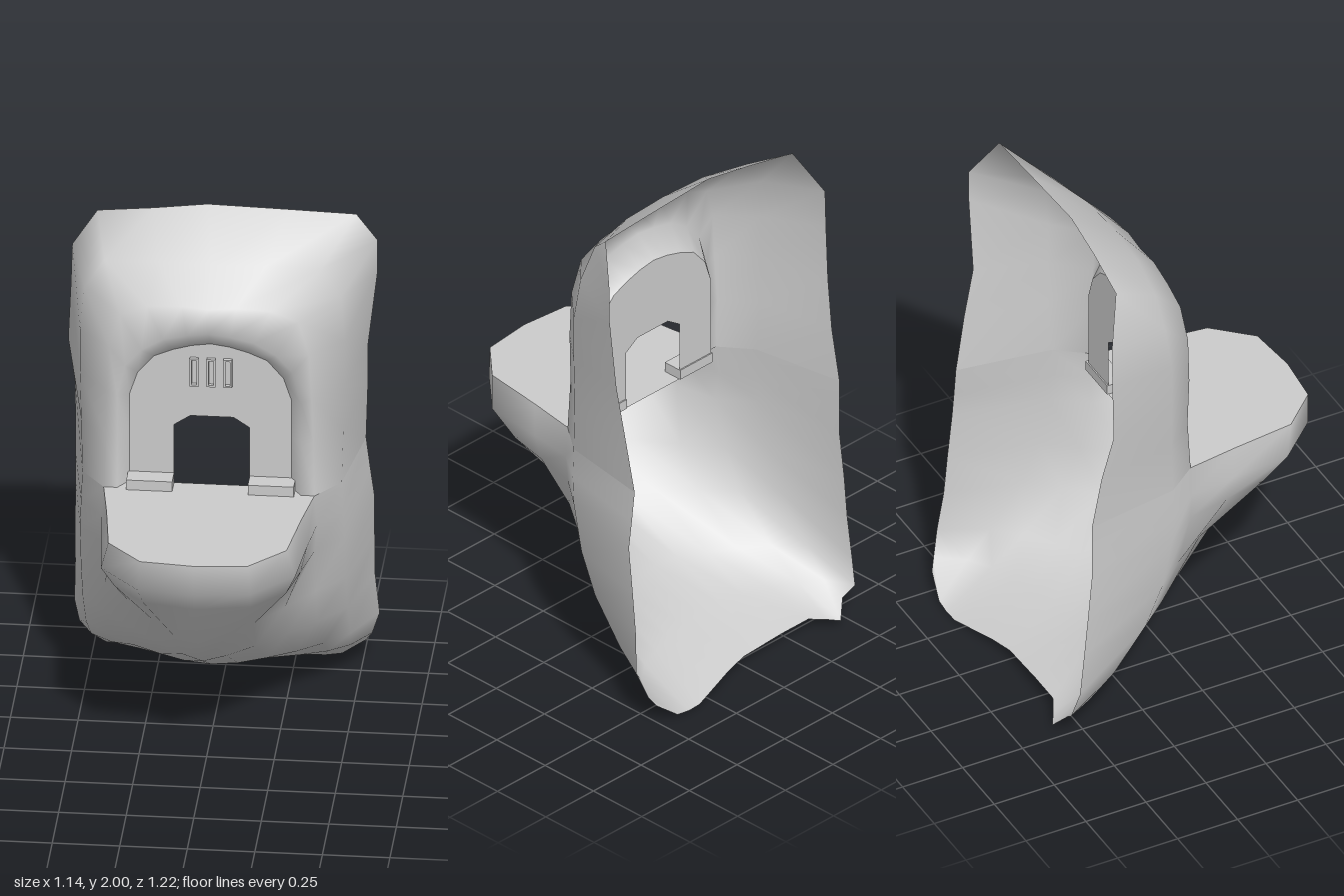
import * as THREE from 'three';

const SHIFT = -0.015; // the ledge and doorway sit slightly to the right
const FLOOR = 0.97;
const PANEL_Z = -0.06;

const material = new THREE.MeshStandardMaterial({ color: 0xcccccc, side: THREE.DoubleSide });

function add(group, name, geometry, x = 0, y = 0, z = 0) {
  const mesh = new THREE.Mesh(geometry, material);
  mesh.name = name;
  mesh.position.set(x, y, z);
  group.add(mesh);
  return mesh;
}

// Smooth skin through rows of points, each running from right to left of the model
function loft(rows) {
  const n = rows[0].length;
  const index = [];
  for (let r = 0; r < rows.length - 1; r++) {
    for (let c = 0; c < n - 1; c++) {
      const a = r * n + c, b = a + 1, d = a + n, e = d + 1;
      index.push(a, d, b, b, d, e);
    }
  }
  const geometry = new THREE.BufferGeometry();
  geometry.setAttribute('position', new THREE.Float32BufferAttribute(rows.flat(2), 3));
  geometry.setIndex(index);
  geometry.computeVertexNormals();
  return geometry;
}

// Mirror a half row whose last point lies on the centre line
function mirrored(half) {
  const right = half.map(([x, y, z]) => [SHIFT - x, y, z]);
  const left = half.slice(0, -1).reverse().map(([x, y, z]) => [SHIFT + x, y, z]);
  return [...right, ...left];
}

// Horizontal sections of the prow: y, right edge x, left edge x, edge z, then half outline [x, z]
const sections = [
  [0.97, -0.555, 0.52, -0.49, [[0.48, -0.12], [0.39, 0], [0.36, 0.2], [0.33, 0.45], [0.2, 0.59], [0, 0.61]]],
  [0.85, -0.555, 0.535, -0.49, [[0.485, -0.12], [0.4, 0], [0.38, 0.18], [0.36, 0.42], [0.21, 0.585], [0, 0.61]]],
  [0.74, -0.555, 0.55, -0.49, [[0.49, -0.13], [0.39, 0], [0.355, 0.17], [0.32, 0.34], [0.2, 0.47], [0, 0.51]]],
  [0.55, -0.56, 0.55, -0.51, [[0.49, -0.17], [0.39, -0.05], [0.29, 0.09], [0.19, 0.23], [0.1, 0.35], [0, 0.41]]],
  [0.39, -0.56, 0.55, -0.525, [[0.49, -0.24], [0.39, -0.12], [0.29, -0.01], [0.18, 0.1], [0.08, 0.19], [0, 0.24]]],
  [0.22, -0.565, 0.565, -0.545, [[0.49, -0.37], [0.4, -0.28], [0.3, -0.2], [0.2, -0.14], [0.1, -0.09], [0, -0.07]]],
  [0.12, -0.55, 0.535, -0.575, [[0.48, -0.47], [0.4, -0.41], [0.3, -0.37], [0.2, -0.34], [0.1, -0.32], [0, -0.31]]],
];

// Bottom edge of the shell
const bottomEdge = [
  [-0.5, 0.08, -0.56], [-0.45, 0.02, -0.6], [-0.4, 0.035, -0.57], [-0.34, 0.05, -0.54], [-0.2, 0.05, -0.54],
  [-0.1, 0.045, -0.54], [0, 0.04, -0.54], [0.1, 0.03, -0.56], [0.2, 0.015, -0.585], [0.3, 0, -0.61],
  [0.36, 0, -0.613], [0.42, 0.01, -0.613], [0.51, 0.08, -0.595],
];

// Free edge of the upper shell, up one side, over the top and down the other
const upperEdge = [
  [-0.555, 0.97, -0.49], [-0.555, 1.18, -0.45], [-0.575, 1.37, -0.41], [-0.565, 1.6, -0.41], [-0.56, 1.76, -0.41],
  [-0.46, 1.94, -0.34], [-0.25, 1.97, -0.32], [-0.05, 2, -0.31], [0.25, 1.99, -0.315], [0.5, 1.98, -0.32],
  [0.57, 1.83, -0.41], [0.57, 1.7, -0.41], [0.535, 1.4, -0.41], [0.53, 1.2, -0.45], [0.52, 0.97, -0.49],
];

// Half arches stepping inward from the free edge to the recessed panel
const flank = [[0.48, 0.97, -0.12], [0.485, 1.18, -0.13], [0.49, 1.37, -0.13], [0.49, 1.55, -0.13],
  [0.475, 1.72, -0.15], [0.4, 1.83, -0.15], [0.2, 1.85, -0.12], [0, 1.85, -0.11]];
const ridge = [[0.39, 0.97, 0], [0.385, 1.18, -0.01], [0.38, 1.37, 0], [0.37, 1.55, 0],
  [0.33, 1.68, -0.01], [0.23, 1.72, -0.01], [0.1, 1.73, 0], [0, 1.72, 0]];
const lip = [[0.34, 0.97, 0], [0.34, 1.18, -0.01], [0.34, 1.35, 0], [0.31, 1.48, 0.01],
  [0.25, 1.55, 0.015], [0.17, 1.6, 0.02], [0.08, 1.62, 0.02], [0, 1.63, 0.02]];
const arch = [[0.3, 0.97], [0.3, 1.18], [0.3, 1.33], [0.27, 1.42], [0.21, 1.49], [0.14, 1.52], [0.07, 1.54], [0, 1.55]]
  .map(([x, y]) => [x, y, PANEL_Z]);

const toShape = (points) => new THREE.Shape(points.map(([x, y]) => new THREE.Vector2(x, y)));

export function createModel() {
  const model = new THREE.Group();
  model.name = 'wallPod';

  // Curved hood around the doorway
  add(model, 'upperShell', loft([upperEdge, ...[flank, ridge, lip, arch].map(mirrored)]));

  // Prow below the ledge, hollow at the back
  const prowRows = sections.map(([y, right, left, z, half]) => [
    [right, y, z],
    ...mirrored(half.map(([x, hz]) => [x, y, hz])),
    [left, y, z],
  ]);
  add(model, 'lowerShell', loft([...prowRows, bottomEdge]));

  // Flat ledge floor, drawn with y as -z and then laid down
  const rim = mirrored(sections[0][4].slice(1).map(([x, z]) => [x, -z, 0]));
  const floor = new THREE.ShapeGeometry(toShape([
    [SHIFT - 0.3, -PANEL_Z], [SHIFT - 0.34, 0], ...rim, [SHIFT + 0.34, 0], [SHIFT + 0.3, -PANEL_Z],
  ]));
  floor.rotateX(-Math.PI / 2);
  add(model, 'ledgeFloor', floor, 0, FLOOR, 0);

  // Recessed arched panel with a doorway cut from its foot
  const doorway = [[0.13, 0.97], [0.13, 1.21], [0.07, 1.25], [-0.09, 1.25], [-0.15, 1.21], [-0.15, 0.97]];
  const panel = new THREE.ShapeGeometry(toShape([...mirrored(arch), ...doorway]));
  add(model, 'doorPanel', panel, 0, 0, PANEL_Z);

  // Sills either side of the doorway
  for (const x of [-0.235, 0.215]) {
    add(model, 'sill', new THREE.BoxGeometry(0.17, 0.04, 0.08), x, FLOOR + 0.02, PANEL_Z + 0.035);
  }

  // Three framed vents above the doorway
  const frame = toShape([[-0.016, -0.057], [0.016, -0.057], [0.016, 0.057], [-0.016, 0.057]]);
  frame.holes.push(toShape([[-0.009, -0.05], [-0.009, 0.05], [0.009, 0.05], [0.009, -0.05]]));
  const ventGeometry = new THREE.ExtrudeGeometry(frame, { depth: 0.015, bevelEnabled: false });
  for (const x of [-0.075, -0.012, 0.05]) add(model, 'vent', ventGeometry, x, 1.435, PANEL_Z);

  return model;
}
